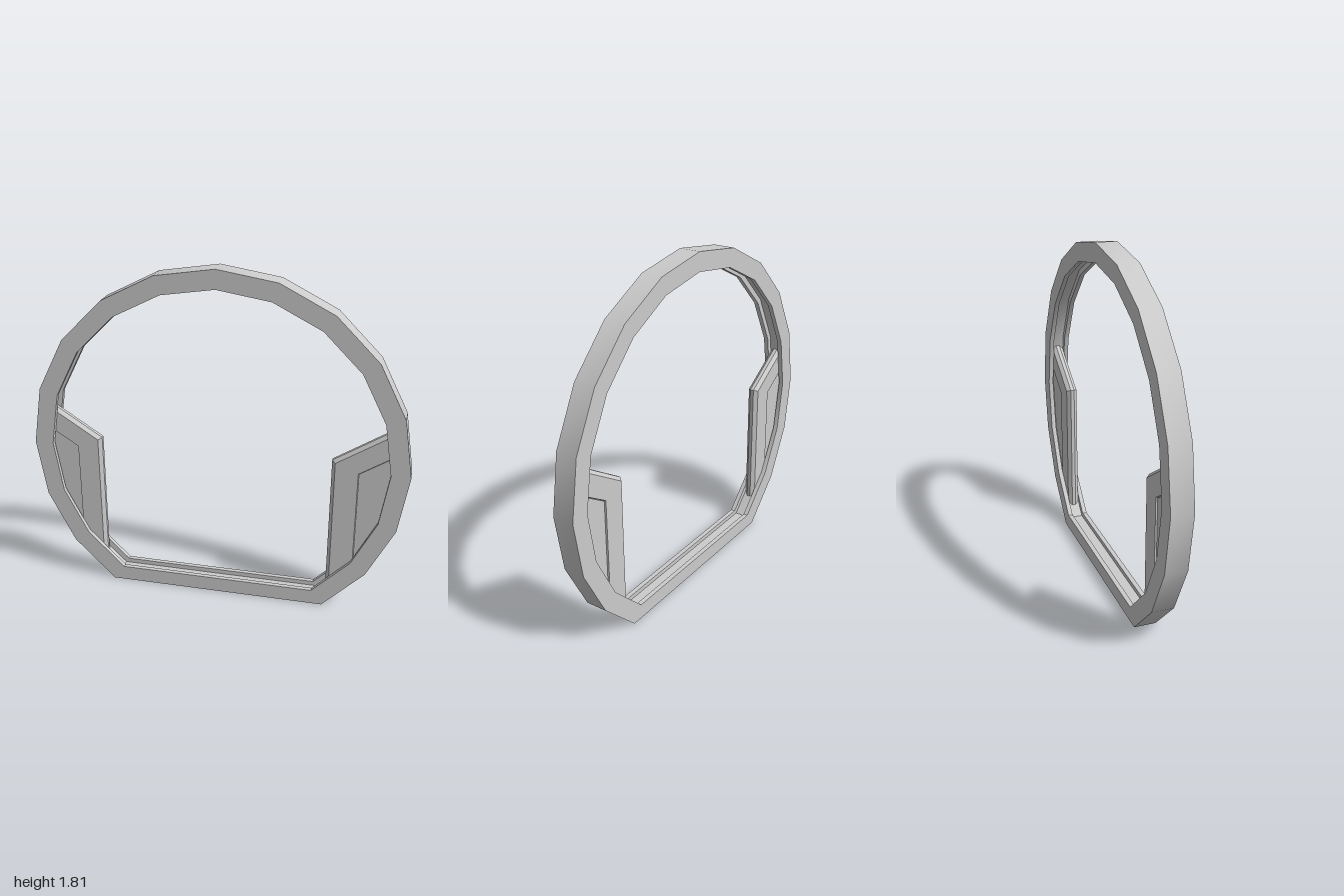
import * as THREE from 'three';
import { toCreasedNormals } from 'three/addons/utils/BufferGeometryUtils.js';

const CENTER_Y = 0.81;
const EMBED = 0.95; // radius at which the panels end inside the ring

// Corner k of the 20-sided ring, counted from the top
function ringPoint(k, radius) {
  const a = (k * Math.PI) / 10;
  return new THREE.Vector2(Math.sin(a) * radius, CENTER_Y + Math.cos(a) * radius);
}

// Grooved cross-section swept round the ring, closed by a flat base
function frameGeometry() {
  const section = [
    [1, -0.057], [1, 0.057], [0.9, 0.057], [0.9, 0.032],
    [0.93, 0.032], [0.93, -0.032], [0.9, -0.032], [0.9, -0.057],
  ];
  const corners = 17;
  const positions = [];
  const vertex = (k, j) => {
    const [radius, z] = section[j % section.length];
    const p = ringPoint((k % corners) - 8, radius);
    return [p.x, p.y, z];
  };
  for (let k = 0; k < corners; k++) {
    for (let j = 0; j < section.length; j++) {
      const a = vertex(k, j), b = vertex(k, j + 1);
      const c = vertex(k + 1, j + 1), d = vertex(k + 1, j);
      positions.push(...a, ...b, ...c, ...a, ...c, ...d);
    }
  }
  const geometry = new THREE.BufferGeometry();
  geometry.setAttribute('position', new THREE.Float32BufferAttribute(positions, 3));
  return toCreasedNormals(geometry, Math.PI / 7);
}

// Flat plate centred on z = 0, mirrored in x by side
function plate(points, side, thickness, steps = 1) {
  const shape = new THREE.Shape(points.map((p) => new THREE.Vector2(p.x * side, p.y)));
  const geometry = new THREE.ExtrudeGeometry(shape, { depth: thickness, steps, bevelEnabled: false });
  return geometry.translate(0, 0, -thickness / 2);
}

function sidePanel(side, innerX, recessX, material) {
  const group = new THREE.Group();
  const slope = 0.64;
  const lowerY = (x) => x - 0.517; // lower ring edge
  // Where a sloping line from (x, y) meets the ring's upper side edge
  const meetRing = (x, y) => {
    const p = ringPoint(4, EMBED), q = ringPoint(5, EMBED);
    const m = (q.x - p.x) / (q.y - p.y);
    const hitX = (p.x + m * (y - slope * x - p.y)) / (1 - m * slope);
    return new THREE.Vector2(hitX, y + slope * (hitX - x));
  };

  const a = new THREE.Vector2(innerX, lowerY(innerX));
  const b = new THREE.Vector2(innerX, 0.85);
  const c = meetRing(innerX, 0.85);
  const d = meetRing(recessX, 0.79);
  const e = new THREE.Vector2(recessX, 0.79);
  const f = new THREE.Vector2(recessX, lowerY(recessX));

  // Border: the free edges are chamfered, the recess edges slope slightly
  const border = plate([a, b, c, d, e, f], side, 0.06, 3);
  const shifts = [
    [a, 0.018, 0], [b, 0.018, -0.008], [c, 0, -0.02],
    [d, 0, 0.005], [e, -0.003, 0.004], [f, -0.003, 0],
  ];
  const pos = border.attributes.position;
  for (let i = 0; i < pos.count; i++) {
    if (Math.abs(pos.getZ(i)) < 0.025) continue;
    const x = pos.getX(i) * side, y = pos.getY(i);
    const hit = shifts.find(([p]) => Math.hypot(p.x - x, p.y - y) < 1e-4);
    if (hit) pos.setXY(i, (x + hit[1]) * side, y + hit[2]);
  }
  border.computeVertexNormals();
  const borderMesh = new THREE.Mesh(border, material);
  borderMesh.name = 'panelBorder';

  // Recessed field between the border and the ring
  const rim = [5, 6, 7].map((k) => ringPoint(k, EMBED)).filter((p) => p.x > recessX + 0.01);
  const field = new THREE.Mesh(plate([f, e, d, ...rim], side, 0.044), material);
  field.name = 'panelRecess';

  group.add(borderMesh, field);
  return group;
}

export function createModel() {
  const model = new THREE.Group();
  model.name = 'roundDoorway';
  const material = new THREE.MeshStandardMaterial({ color: 0xcccccc });

  const frame = new THREE.Mesh(frameGeometry(), material);
  frame.name = 'groovedFrame';

  const left = sidePanel(1, 0.6, 0.74, material);
  left.name = 'leftPanel';
  const right = sidePanel(-1, 0.635, 0.77, material);
  right.name = 'rightPanel';

  model.add(frame, left, right);
  return model;
}
